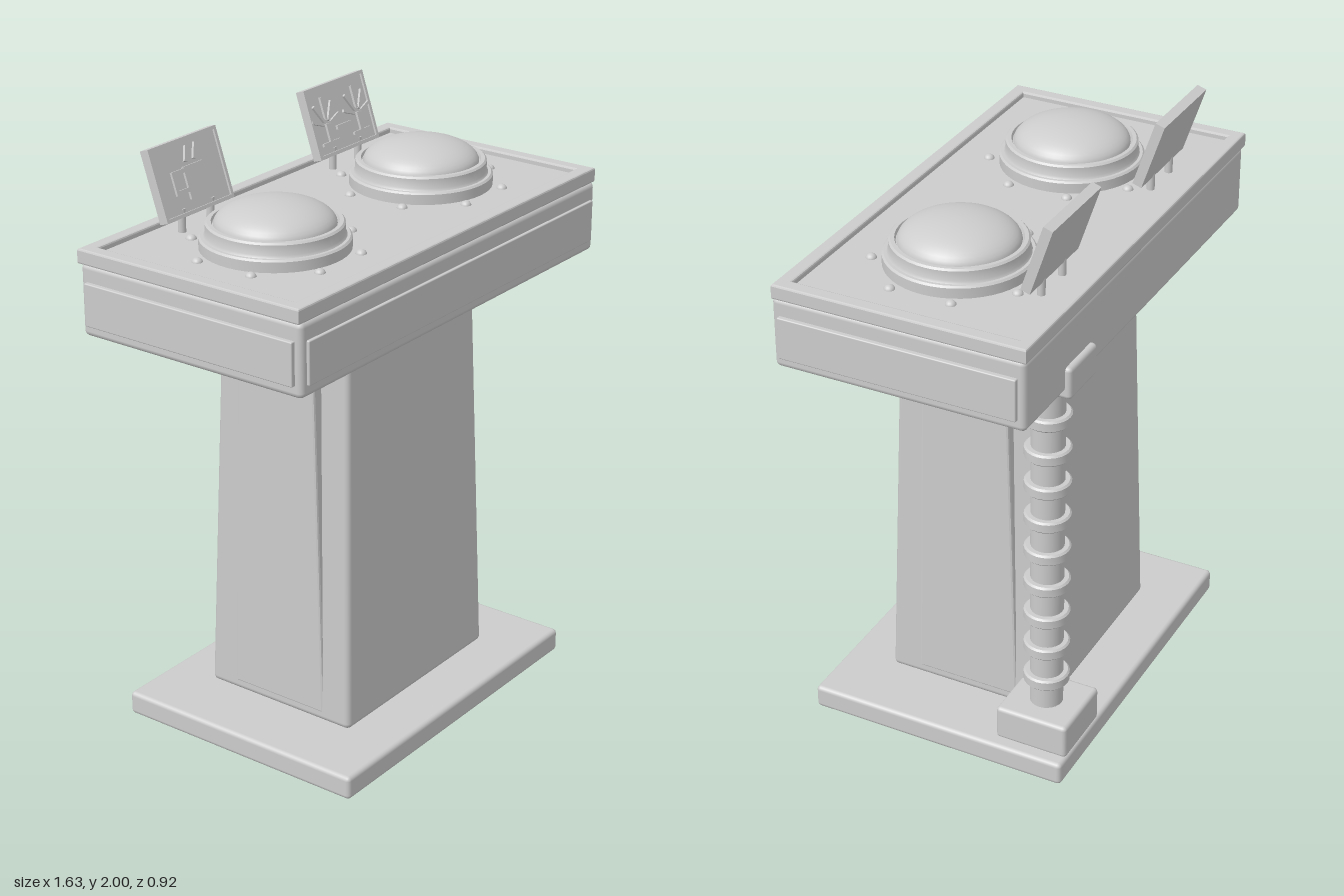
import * as THREE from 'three';
import { RoundedBoxGeometry } from 'three/addons/geometries/RoundedBoxGeometry.js';
import { toCreasedNormals } from 'three/addons/utils/BufferGeometryUtils.js';

const grey = new THREE.MeshStandardMaterial({ color: 0xcccccc });
grey.name = 'light grey';

function add(parent, name, geometry, x = 0, y = 0, z = 0) {
  const mesh = new THREE.Mesh(geometry, grey);
  mesh.name = name;
  mesh.position.set(x, y, z);
  parent.add(mesh);
  return mesh;
}

// Rounded box given by its minimum and maximum corners
function block(parent, name, [x0, y0, z0], [x1, y1, z1], r = 0.01) {
  const geometry = new RoundedBoxGeometry(x1 - x0, y1 - y0, z1 - z0, 2, r);
  return add(parent, name, geometry, (x0 + x1) / 2, (y0 + y1) / 2, (z0 + z1) / 2);
}

function polygon(points) {
  return new THREE.Shape(points.map(([x, y]) => new THREE.Vector2(x, y)));
}

function rectangle(x0, y0, x1, y1) {
  return polygon([[x0, y0], [x1, y0], [x1, y1], [x0, y1]]);
}

function plate(shape, depth, bevel = 0) {
  return new THREE.ExtrudeGeometry(shape, {
    depth, bevelEnabled: bevel > 0, bevelThickness: bevel, bevelSize: bevel,
    bevelOffset: -bevel, bevelSegments: 2,
  });
}

// Flat bar between two points of a sign face
function stroke(parent, name, x0, y0, x1, y1, width = 0.01) {
  const length = Math.hypot(x1 - x0, y1 - y0);
  const bar = add(parent, name, new THREE.BoxGeometry(length, width, 0.009), (x0 + x1) / 2, (y0 + y1) / 2, 0.017);
  bar.rotation.z = Math.atan2(y1 - y0, x1 - x0);
}

// Pedestal that narrows towards the top, with a raised panel on either side
function addPedestal(model) {
  const geometry = new RoundedBoxGeometry(0.78, 1.39, 0.58, 3, 0.02);
  const p = geometry.attributes.position;
  for (let i = 0; i < p.count; i++) {
    const t = p.getY(i) / 1.39 + 0.5;
    p.setX(i, p.getX(i) * (1 - 0.12 * t));
    p.setZ(i, p.getZ(i) * (1 - 0.125 * t));
  }
  add(model, 'pedestal', geometry, 0, 0.785, 0);
  const panel = polygon([[-0.185, 0.12], [0.185, 0.12], [0.153, 1.295], [-0.153, 1.295]]);
  for (const side of [-1, 1]) {
    const mesh = add(model, 'pedestalSidePanel', plate(panel, 0.08, 0.008), side * 0.302, 0, 0);
    mesh.rotation.y = side * Math.PI / 2;
  }
}

// Counter with a raised rim and shallow panels on the front and sides
function addCounter(model) {
  block(model, 'counterBody', [-0.805, 1.455, -0.425], [0.8, 1.695, 0.43], 0.018);
  block(model, 'counterTop', [-0.795, 1.69, -0.415], [0.79, 1.722, 0.415], 0.005);
  const rim = rectangle(-0.81, -0.425, 0.805, 0.43);
  rim.holes.push(rectangle(-0.762, -0.378, 0.757, 0.385));
  const mesh = add(model, 'counterRim', plate(rim, 0.038, 0.006), 0, 1.697, 0);
  mesh.rotation.x = -Math.PI / 2;
  block(model, 'frontPanel', [-0.78, 1.495, 0.42], [0.775, 1.637, 0.44], 0.004);
  block(model, 'rightPanel', [-0.82, 1.495, -0.4], [-0.79, 1.637, 0.405], 0.004);
  block(model, 'leftPanel', [0.785, 1.495, -0.4], [0.815, 1.637, 0.405], 0.004);
}

// Large domed button in a stepped ring with eight rivets
function addButton(model, x) {
  const button = new THREE.Group();
  button.name = 'button';
  button.position.set(x, 1.72, 0.01);
  model.add(button);
  const ring = [[0.238, 0], [0.238, 0.036], [0.232, 0.042], [0.222, 0.042], [0.217, 0.05],
    [0.217, 0.082], [0.211, 0.088], [0.198, 0.088], [0.194, 0.078], [0.18, 0.078]];
  const profile = ring.map(([r, y]) => new THREE.Vector2(r, y));
  add(button, 'buttonRing', toCreasedNormals(new THREE.LatheGeometry(profile, 48), 0.6));
  const dome = [];
  for (let i = 0; i <= 12; i++) {
    const a = i / 12 * Math.PI / 2;
    dome.push(new THREE.Vector2(i === 12 ? 0 : 0.192 * Math.cos(a), 0.076 + 0.079 * Math.sin(a)));
  }
  add(button, 'buttonDome', new THREE.LatheGeometry(dome, 48));
  const rivet = new THREE.SphereGeometry(0.018, 14, 6, 0, Math.PI * 2, 0, Math.PI / 2);
  for (let i = 0; i < 8; i++) {
    const a = (i + 0.5) * Math.PI / 4;
    add(button, 'rivet', rivet, 0.272 * Math.cos(a), 0, 0.272 * Math.sin(a)).scale.y = 0.9;
  }
}

// Leaning sign on two posts; draw adds the raised picture
function addSign(model, x, draw) {
  const sign = new THREE.Group();
  sign.name = 'sign';
  sign.position.set(x, 1.884, -0.338);
  sign.rotation.x = -0.32;
  model.add(sign);
  add(sign, 'signBoard', new THREE.BoxGeometry(0.326, 0.236, 0.026));
  const frame = rectangle(-0.163, -0.118, 0.163, 0.118);
  frame.holes.push(rectangle(-0.152, -0.107, 0.152, 0.107));
  add(sign, 'signFrame', plate(frame, 0.008), 0, 0, 0.012);
  draw(sign);
  for (const dx of [-0.07, 0.07]) {
    add(model, 'signPost', new THREE.CylinderGeometry(0.013, 0.013, 0.09, 12), x + dx, 1.755, -0.305);
  }
}

function drawMug(sign) {
  add(sign, 'mugBody', plate(rectangle(-0.03, -0.075, 0.065, 0.03), 0.009), 0, 0, 0.012);
  const handle = rectangle(-0.088, -0.05, -0.03, 0.026);
  handle.holes.push(rectangle(-0.074, -0.036, -0.03, 0.012));
  add(sign, 'mugHandle', plate(handle, 0.009), 0, 0, 0.012);
  for (const x of [-0.012, 0.03]) stroke(sign, 'steam', x, 0.043, x + 0.022, 0.09, 0.012);
}

function drawBursts(sign) {
  for (const side of [-1, 1]) {
    const cx = side * 0.085;
    for (const degrees of [15, 50, 90, 130, 165]) {
      const a = degrees * Math.PI / 180;
      const c = Math.cos(a), s = Math.sin(a);
      stroke(sign, 'ray', cx + 0.018 * c, -0.015 + 0.018 * s, cx + 0.075 * c, -0.015 + 0.095 * s);
    }
    stroke(sign, 'burstStem', cx, -0.075, cx, -0.01, 0.014);
    stroke(sign, 'burstFoot', cx - 0.045, -0.075, cx + 0.045, -0.075);
  }
  stroke(sign, 'middleBar', -0.04, -0.035, 0.04, -0.035, 0.014);
}

// Ribbed hose between a foot block and a bracket behind the counter
function addHose(model) {
  const x = 0.447, z = -0.325;
  block(model, 'hoseFoot', [0.32, 0.08, -0.455], [0.57, 0.203, -0.2], 0.014);
  block(model, 'hoseBracket', [0.355, 1.43, -0.445], [0.54, 1.54, -0.27], 0.014);
  add(model, 'hose', new THREE.CylinderGeometry(0.055, 0.055, 1.27, 24), x, 0.82, z);
  const points = [[0.05, -0.02], [0.07, -0.02], [0.076, -0.014], [0.076, 0.014], [0.07, 0.02], [0.05, 0.02]];
  const profile = points.map(([r, y]) => new THREE.Vector2(r, y));
  const rib = toCreasedNormals(new THREE.LatheGeometry(profile, 24), 0.6);
  for (let i = 0; i < 10; i++) add(model, 'hoseRib', rib, x, 0.305 + 0.124 * i, z);
}

export function createModel() {
  const model = new THREE.Group();
  model.name = 'controlConsole';
  block(model, 'basePlate', [-0.62, 0.005, -0.46], [0.617, 0.087, 0.463], 0.015);
  addPedestal(model);
  addCounter(model);
  for (const x of [-0.39, 0.385]) addButton(model, x);
  addSign(model, -0.392, drawMug);
  addSign(model, 0.39, drawBursts);
  addHose(model);
  return model;
}
